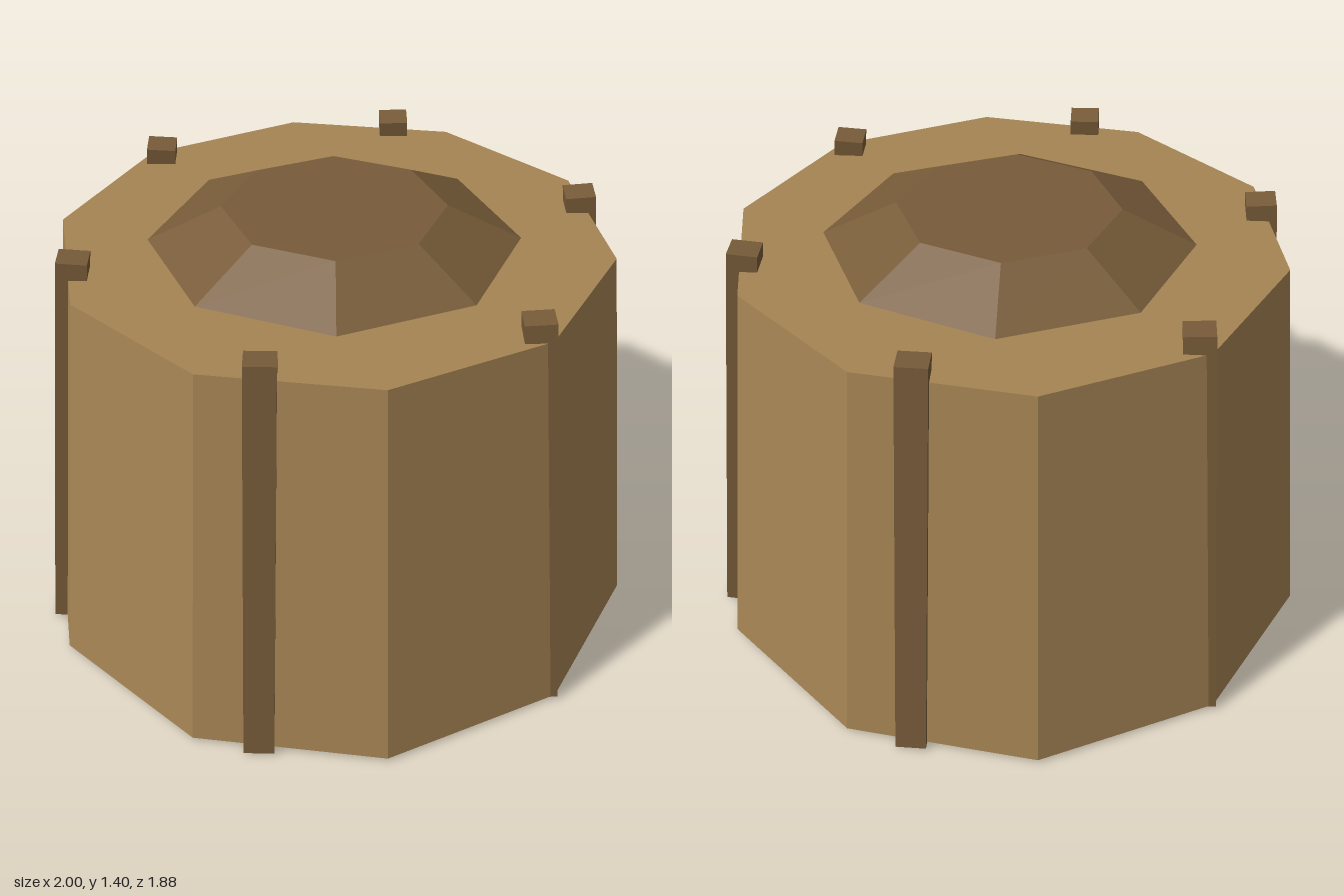
import * as THREE from 'three';

export function createModel() {
  const model = new THREE.Group();
  const wood = new THREE.MeshStandardMaterial({ color: 0xa58453, flatShading: true });
  wood.name = 'light wood';
  const darkWood = new THREE.MeshStandardMaterial({ color: 0x785c39, flatShading: true });
  darkWood.name = 'dark wood';

  const add = (name, geometry, material) => {
    const mesh = new THREE.Mesh(geometry, material);
    mesh.name = name;
    model.add(mesh);
    return mesh;
  };

  // Ten-sided tapering body with a corner on each side (+x and -x)
  const bottomY = 0.012, topY = 1.287;
  const body = add('body',
    new THREE.CylinderGeometry(0.873, 0.987, topY - bottomY, 10, 1, false, Math.PI / 2), wood);
  body.position.y = (topY + bottomY) / 2;

  // Eight-sided bevelled cap resting on the body
  const capHeight = 0.115;
  const cap = add('cap', new THREE.CylinderGeometry(0.35, 0.583, capHeight, 8), darkWood);
  cap.position.y = topY + capHeight / 2;

  // Six square posts leaning inwards, all turned corner-forward
  const up = new THREE.Vector3(0, 1, 0);
  for (let i = 0; i < 6; i++) {
    const a = i * Math.PI / 3;
    const foot = new THREE.Vector3(0.931 * Math.cos(a), 0.006, 0.931 * Math.sin(a));
    const head = new THREE.Vector3(0.815 * Math.cos(a), 1.342, 0.815 * Math.sin(a));
    const axis = head.clone().sub(foot);
    const geometry = new THREE.BoxGeometry(0.095, axis.length(), 0.095).rotateY(Math.PI / 4);
    const post = add('post' + (i + 1), geometry, darkWood);
    post.position.copy(foot).add(head).multiplyScalar(0.5);
    post.quaternion.setFromUnitVectors(up, axis.normalize());
  }

  return model;
}
